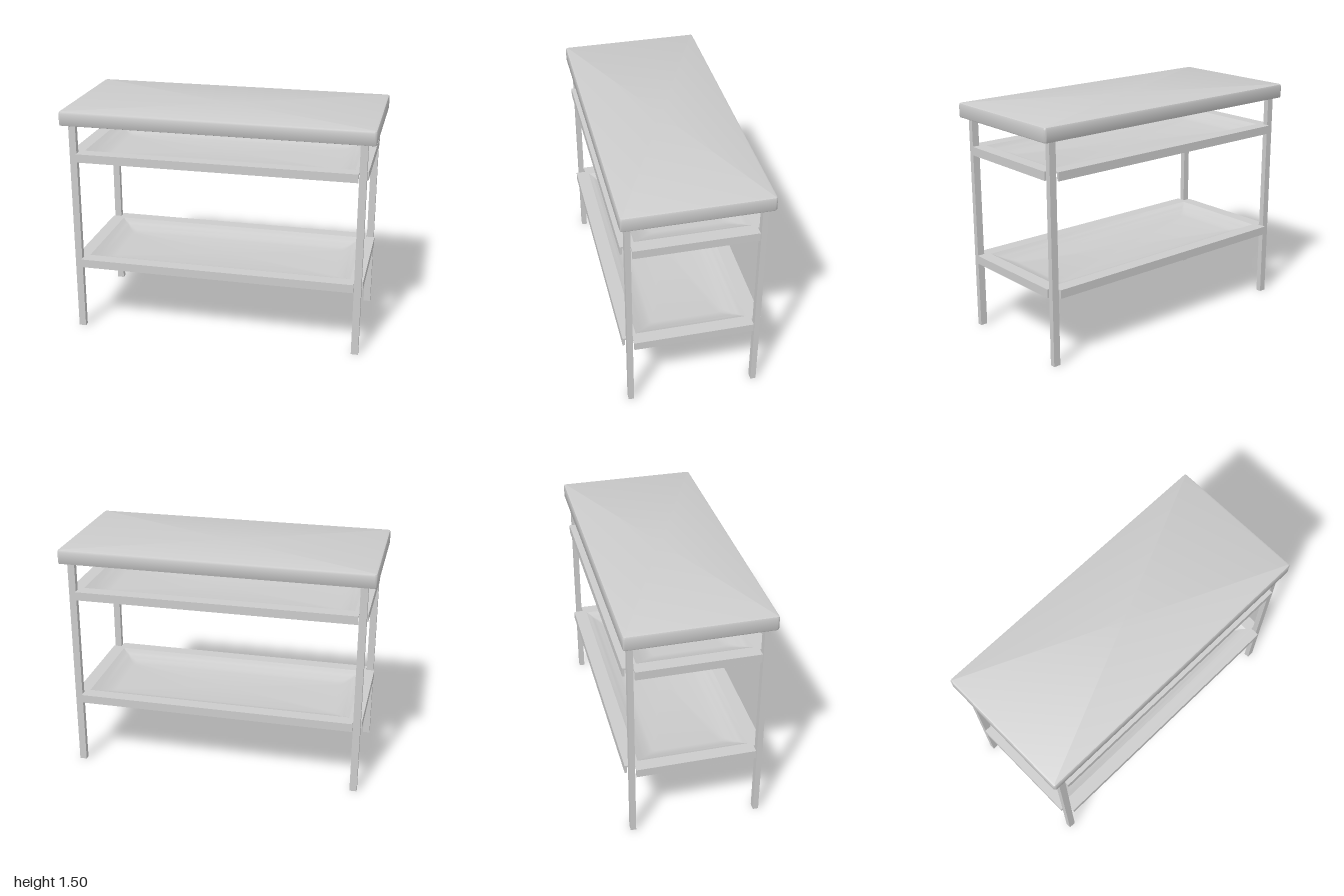
import * as THREE from 'three';
import { toCreasedNormals } from 'three/addons/utils/BufferGeometryUtils.js';

const material = new THREE.MeshStandardMaterial({ color: 0xcccccc });

function add(parent, name, geometry, x = 0, y = 0, z = 0) {
  const mesh = new THREE.Mesh(geometry, material);
  mesh.name = name;
  mesh.position.set(x, y, z);
  parent.add(mesh);
  return mesh;
}

// Closed skin through rounded-rectangle rings [halfX, halfZ, y, radius],
// running from the top centre outwards, round the edge and back underneath.
function loftRings(rings, crease, steps = 3) {
  const pos = [], index = [], n = 4 * (steps + 1);
  for (const [hx, hz, y, r] of rings) {
    for (let c = 0; c < 4; c++) {
      const sx = c === 0 || c === 3 ? 1 : -1, sz = c < 2 ? 1 : -1;
      for (let s = 0; s <= steps; s++) {
        const a = (c + s / steps) * Math.PI / 2;
        pos.push(sx * (hx - r) + r * Math.cos(a), y, sz * (hz - r) + r * Math.sin(a));
      }
    }
  }
  for (let i = 0; i < rings.length - 1; i++) {
    for (let j = 0; j < n; j++) {
      const k = (j + 1) % n, a = i * n, b = a + n;
      index.push(a + j, b + k, b + j, a + j, a + k, b + k);
    }
  }
  // centre caps
  const last = (rings.length - 1) * n, top = rings.length * n;
  pos.push(0, rings[0][2], 0, 0, rings[rings.length - 1][2], 0);
  for (let j = 0; j < n; j++) {
    const k = (j + 1) % n;
    index.push(top, k, j, top + 1, last + j, last + k);
  }
  const g = new THREE.BufferGeometry();
  g.setAttribute('position', new THREE.Float32BufferAttribute(pos, 3));
  g.setIndex(index);
  return toCreasedNormals(g, crease);
}

// Worktop: bevelled pan with a hollow underside
function worktop() {
  const W = 1, D = 0.455, R = 0.016;
  const ring = (inset, y) => [W - inset, D - inset, y, Math.max(R - inset, 0.003)];
  return loftRings([
    ring(0.014, 1.505), ring(0.004, 1.501), ring(0, 1.49),
    ring(0, 1.42), ring(0.004, 1.413), ring(0.012, 1.41),
    ring(0.025, 1.41), ring(0.025, 1.485),
  ], 0.6);
}

// Shelf: flat border notched around the legs, folded edges and a dished centre
function shelf(name, y) {
  const group = new THREE.Group();
  group.name = name;
  group.position.y = y;
  const X = 0.955, Z = 0.443, nx = 0.9, nz = 0.38; // outer size and notch corner
  const hx = 0.87, hz = 0.355, t = 0.012, fold = 0.055;

  const outline = new THREE.Shape([
    [X, -nz], [X, nz], [nx, nz], [nx, Z], [-nx, Z], [-nx, nz],
    [-X, nz], [-X, -nz], [-nx, -nz], [-nx, -Z], [nx, -Z], [nx, -nz],
  ].map(([a, b]) => new THREE.Vector2(a, b)));
  outline.holes.push(new THREE.Path([
    [hx, -hz], [-hx, -hz], [-hx, hz], [hx, hz],
  ].map(([a, b]) => new THREE.Vector2(a, b))));
  const border = new THREE.ExtrudeGeometry(outline, { depth: t, bevelEnabled: false });
  border.rotateX(Math.PI / 2);
  add(group, 'shelfBorder', border);

  // folded-down edges
  for (const s of [-1, 1]) {
    add(group, 'longFold', new THREE.BoxGeometry(2 * nx, fold, 0.014), 0, -fold / 2, s * (Z - 0.007));
    add(group, 'endFold', new THREE.BoxGeometry(0.014, fold, 2 * nz), s * (X - 0.007), -fold / 2, 0);
  }

  // shallow dish easing into a flat floor
  const slope = [];
  for (let i = 0; i <= 6; i++) {
    const u = i / 6, inset = 0.125 * u;
    slope.push([hx - inset, hz - inset, -0.053 * (1 - (1 - u) ** 1.4), 0.002 + 0.03 * u]);
  }
  const under = slope.map(([a, b, h, r]) => [a, b, h - t, r]);
  add(group, 'shelfDish', loftRings([...slope.reverse(), ...under], 0.7));
  return group;
}

export function createModel() {
  const model = new THREE.Group();
  model.name = 'workTable';
  add(model, 'worktop', worktop());
  model.add(shelf('upperShelf', 1.227), shelf('lowerShelf', 0.497));

  // four straight legs reaching up inside the worktop
  for (const sx of [-1, 1]) {
    for (const sz of [-1, 1]) {
      const name = (sz > 0 ? 'front' : 'back') + (sx > 0 ? 'Left' : 'Right') + 'Leg';
      add(model, name, new THREE.BoxGeometry(0.046, 1.485, 0.035), sx * 0.925, 0.7425, sz * 0.405);
    }
  }
  return model;
}
